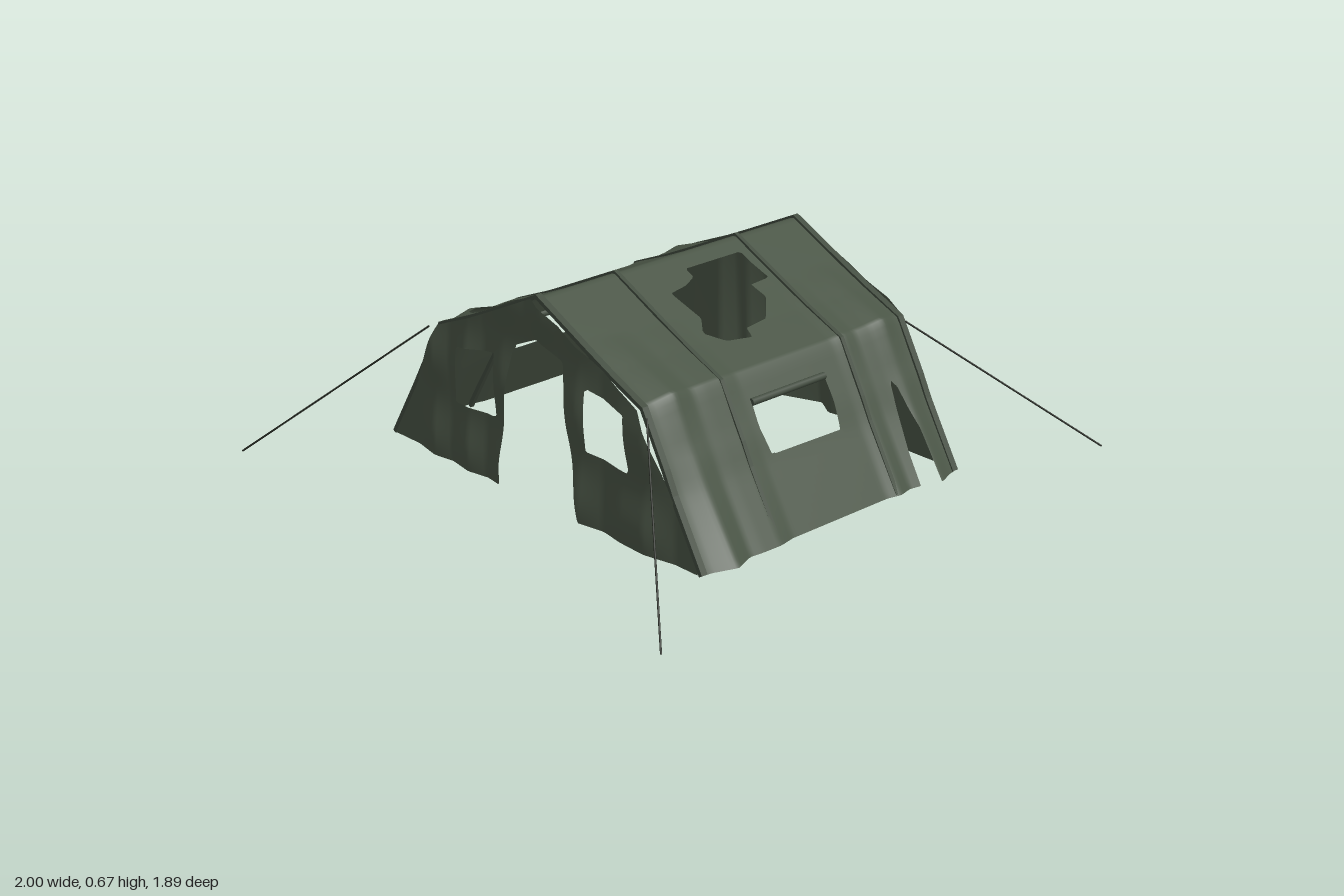
import * as THREE from 'three';
import { mergeVertices } from 'three/addons/utils/BufferGeometryUtils.js';

const canvasMat = new THREE.MeshStandardMaterial({ color: 0x4a5546, side: THREE.DoubleSide });
const trimMat = new THREE.MeshStandardMaterial({ color: 0x424c3f });
const ropeMat = new THREE.MeshStandardMaterial({ color: 0x22261f });

// Cross-section of the tent as [z, y], back hem over the ridge to front hem
const PROFILE = [[-0.73, 0.015], [-0.61, 0.215], [-0.57, 0.285], [-0.475, 0.452], [-0.33, 0.513], [-0.23, 0.56],
  [-0.015, 0.665], [0.2, 0.56], [0.3, 0.513], [0.44, 0.452], [0.53, 0.29], [0.565, 0.22], [0.685, 0.015]];

// Tears and windows of the roof as [x, z]
const ROOF_HOLES = [
  [[-0.15, 0.11], [-0.08, 0.1], [-0.03, 0.08], [-0.03, 0.045], [0.2, 0.045], [0.2, 0.09], [0.21, 0.16], [0.13, 0.165],
    [0.14, 0.22], [0.07, 0.29], [-0.02, 0.3], [-0.03, 0.335], [-0.12, 0.32], [-0.17, 0.27], [-0.13, 0.22]],
  [[-0.5, -0.4], [-0.48, -0.44], [-0.42, -0.43], [-0.4, -0.415], [-0.37, -0.44], [-0.31, -0.445], [-0.32, -0.38],
    [-0.34, -0.35], [-0.31, -0.3], [-0.37, -0.31], [-0.38, -0.265], [-0.45, -0.25], [-0.5, -0.32]],
  [[0.37, 0.52], [0.39, 0.535], [0.415, 0.6], [0.415, 0.75], [0.34, 0.75], [0.345, 0.63]],
  [[-0.175, 0.478], [0.125, 0.478], [0.13, 0.52], [0.12, 0.562], [-0.165, 0.56], [-0.18, 0.52]],
  [[-0.17, -0.53], [0.12, -0.53], [0.12, -0.602], [-0.175, -0.602], [-0.18, -0.56]],
];

// Doorway and windows of the open end as [z, y]
const DOOR_HOLES = [
  [[-0.19, -0.1], [-0.18, 0.1], [-0.15, 0.3], [-0.11, 0.49], [0, 0.54], [0.11, 0.5], [0.13, 0.3], [0.16, 0.14], [0.2, -0.1]],
  [[-0.4, 0.22], [-0.2, 0.23], [-0.2, 0.44], [-0.38, 0.41]],
  [[0.4, 0.24], [0.21, 0.25], [0.21, 0.45], [0.38, 0.42]],
];

// Piecewise linear lookup in a list of [key, value]
function lookup(table, t) {
  if (t <= table[0][0]) return table[0][1];
  for (let i = 1; i < table.length; i++) {
    const [a, va] = table[i - 1], [b, vb] = table[i];
    if (t <= b) return va + ((vb - va) * (t - a)) / (b - a);
  }
  return table[table.length - 1][1];
}

// Signed distance to a polygon, positive inside
function inside(poly, [px, py]) {
  let d = Infinity, isIn = false;
  poly.forEach(([ax, ay], i) => {
    const [bx, by] = poly[(i + 1) % poly.length], ex = bx - ax, ey = by - ay;
    const t = THREE.MathUtils.clamp(((px - ax) * ex + (py - ay) * ey) / (ex * ex + ey * ey), 0, 1);
    d = Math.min(d, Math.hypot(px - ax - t * ex, py - ay - t * ey));
    if (ay > py !== by > py && px < ax + (ex * (py - ay)) / ey) isIn = !isIn;
  });
  return isIn ? d : -d;
}

// Cloth sheet: a fine grid clipped by an outline and holes, then bent by map(u, v)
function sheet(name, [u0, u1, nu], [v0, v1, nv], outline, holes, map, flip = false) {
  const keep = (p) => Math.min(outline ? inside(outline, p) : 1, ...holes.map((h) => -inside(h, p)));
  const grid = [];
  for (let i = 0; i <= nu; i++) {
    grid.push([]);
    for (let j = 0; j <= nv; j++) {
      const p = [u0 + ((u1 - u0) * i) / nu, v0 + ((v1 - v0) * j) / nv];
      grid[i].push({ p, f: keep(p) });
    }
  }
  const pos = [];
  const clip = (tri) => {
    const out = [];
    tri.forEach((a, k) => {
      const b = tri[(k + 1) % 3];
      if (a.f >= 0) out.push(a.p);
      if (a.f >= 0 !== b.f >= 0) {
        const t = a.f / (a.f - b.f);
        out.push([a.p[0] + t * (b.p[0] - a.p[0]), a.p[1] + t * (b.p[1] - a.p[1])]);
      }
    });
    for (let k = 1; k + 1 < out.length; k++) {
      const fan = flip ? [out[0], out[k + 1], out[k]] : [out[0], out[k], out[k + 1]];
      fan.forEach((p) => pos.push(...map(...p)));
    }
  };
  for (let i = 0; i < nu; i++) for (let j = 0; j < nv; j++) {
    const a = grid[i][j], b = grid[i][j + 1], c = grid[i + 1][j + 1], d = grid[i + 1][j];
    clip([a, b, c]);
    clip([a, c, d]);
  }
  let geo = new THREE.BufferGeometry();
  geo.setAttribute('position', new THREE.Float32BufferAttribute(pos, 3));
  geo = mergeVertices(geo, 1e-4);
  geo.computeVertexNormals();
  const mesh = new THREE.Mesh(geo, canvasMat);
  mesh.name = name;
  return mesh;
}

// Raised strip following the cross-section
function rib(x, width, height) {
  const offset = (d) => PROFILE.map(([z, y], i) => {
    const a = PROFILE[Math.max(i - 1, 0)], b = PROFILE[Math.min(i + 1, PROFILE.length - 1)];
    const dz = b[0] - a[0], dy = b[1] - a[1], l = Math.hypot(dz, dy);
    return new THREE.Vector2(z - (dy / l) * d, y + (dz / l) * d);
  });
  const shape = new THREE.Shape([...offset(height), ...offset(-0.006).reverse()]);
  const geo = new THREE.ExtrudeGeometry(shape, { depth: width, bevelEnabled: false });
  geo.rotateY(-Math.PI / 2).translate(x + width / 2, 0, 0);
  const mesh = new THREE.Mesh(geo, trimMat);
  mesh.name = 'seamRib';
  return mesh;
}

// Thin rod between two points
function rod(name, from, to, radius, material) {
  const a = new THREE.Vector3(...from), b = new THREE.Vector3(...to);
  const mesh = new THREE.Mesh(new THREE.CylinderGeometry(radius, radius, a.distanceTo(b), 8), material);
  mesh.position.copy(a).lerp(b, 0.5);
  mesh.quaternion.setFromUnitVectors(new THREE.Vector3(0, 1, 0), b.sub(a).normalize());
  mesh.name = name;
  return mesh;
}

export function createModel() {
  const tent = new THREE.Group();
  tent.name = 'tornTent';

  // Roof and sloping sides, rippled at eaves and hems
  const ripple = [[-0.57, 0], [-0.53, 0.005], [-0.45, 0.035], [-0.38, 0.005], [-0.33, 0.01], [-0.26, 0.012], [-0.2, 0],
    [0.2, 0], [0.25, 0.012], [0.3, 0], [0.36, 0.01], [0.42, 0.03], [0.47, 0.008], [0.51, 0]];
  tent.add(sheet('roofCanvas', [-0.57, 0.51, 88], [-0.73, 0.685, 114], null, ROOF_HOLES, (x, z) => {
    const y = lookup(PROFILE, z), r = lookup(ripple, x), side = Math.sign(z + 0.015);
    const low = Math.max(0, 1 - y / 0.42), eave = Math.max(0, 1 - Math.abs(y - 0.45) / 0.12);
    return [x, y + r * eave * 0.5, z + side * r * (low + eave * 0.3)];
  }));

  // Closed end, hanging in folds that spread toward the ground
  const folds = [[-0.5, 0], [-0.37, 0.005], [-0.3, 0.05], [-0.26, 0.025], [-0.19, 0.08], [-0.1, 0.035], [0.03, 0.085],
    [0.1, 0.04], [0.2, 0.055], [0.27, 0.04], [0.36, 0.06], [0.46, 0]];
  const range = [[-0.73, 0.685, 110], [0.015, 0.665, 52]];
  tent.add(sheet('closedEnd', ...range, PROFILE, [], (z, y) => [
    0.51 + lookup(folds, z) * Math.pow(1 - y / 0.68, 0.8), y, z]));

  // Open end with a torn doorway between two flaps with windows
  const sway = [[-0.6, 0], [-0.5, 0.025], [-0.42, 0.01], [-0.33, 0.028], [-0.25, 0.01], [-0.16, 0.026], [-0.05, 0.012],
    [0.02, 0.028], [0.1, 0.015], [0.18, 0.026], [0.28, 0.005], [0.36, 0.022], [0.47, 0.028], [0.58, 0]];
  tent.add(sheet('openEnd', ...range, PROFILE, DOOR_HOLES, (z, y) => [
    -0.57 - lookup(sway, z) * (0.75 + 0.25 * Math.sin(y * 22)), y, z], true));

  // Ribs over the ends and inner seams
  for (const [x, w, h] of [[-0.56, 0.022, 0.008], [-0.26, 0.014, 0.008], [0.24, 0.014, 0.008], [0.5, 0.022, 0.008]])
    tent.add(rib(x, w, h));

  // Rolled window covers
  for (const z of [0.483, -0.531]) {
    const y = lookup(PROFILE, z);
    tent.add(rod('rolledWindowCover', [-0.178, y, z], [0.126, y, z], 0.012, trimMat));
  }

  // Guy ropes at the four eave corners
  const ropes = [[[-0.585, 0.44, 0.48], [-0.955, 0.01, 0.94]], [[-0.585, 0.44, -0.51], [-1, 0.005, -0.95]],
    [[0.51, 0.44, 0.455], [1, 0.005, 0.86]], [[0.51, 0.44, -0.49], [0.965, 0.01, -0.91]]];
  for (const [top, peg] of ropes) tent.add(rod('guyRope', top, peg, 0.003, ropeMat));

  return tent;
}
